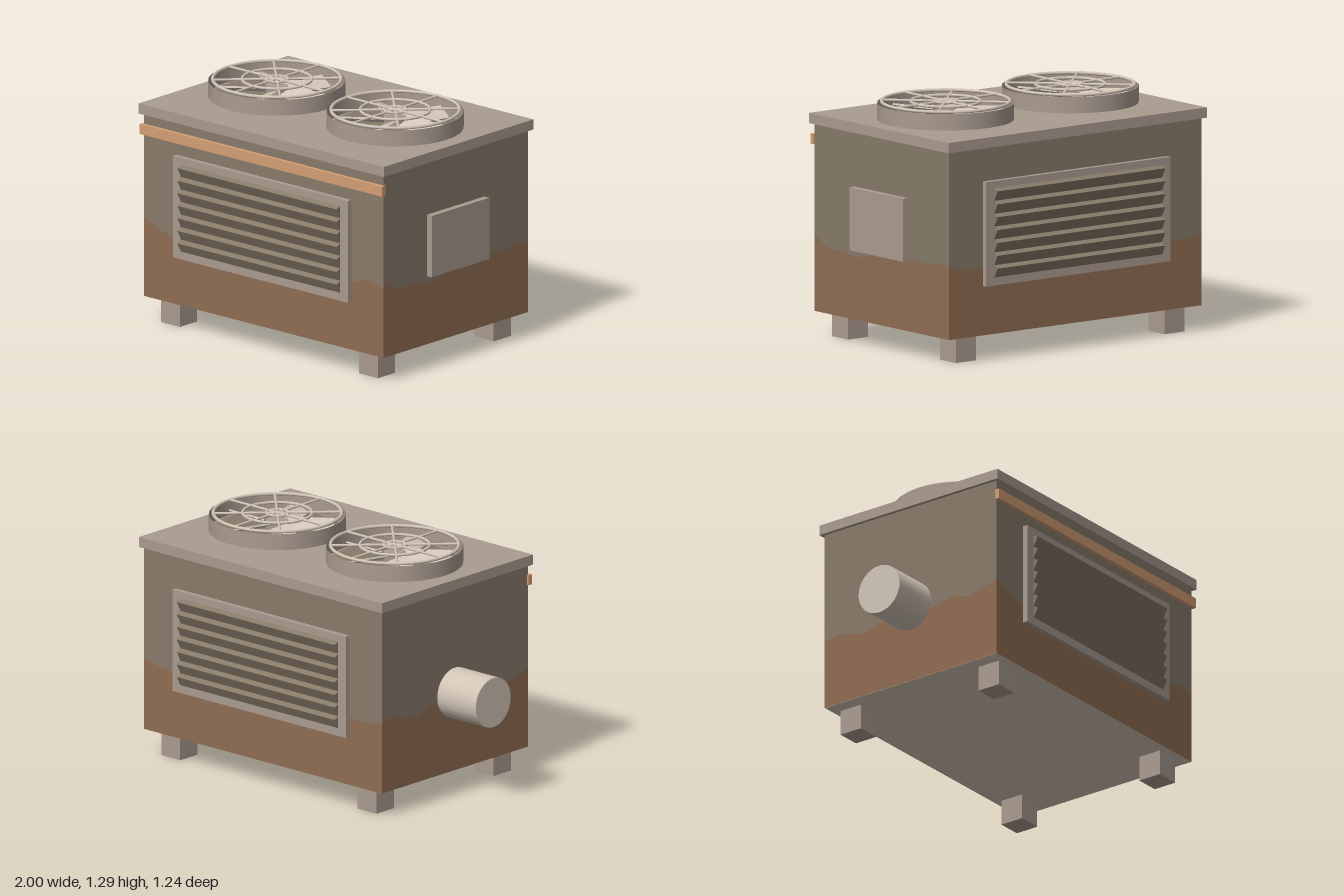
import * as THREE from 'three';

const mat = (name, color, side = THREE.FrontSide) => {
  const m = new THREE.MeshStandardMaterial({ color, side });
  m.name = name;
  return m;
};

export function createModel() {
  const model = new THREE.Group();
  model.name = 'rooftopCoolingUnit';

  const olive = mat('olive paint', 0x877a69);
  const rust = mat('rust', 0x906d53);
  const grey = mat('warm grey trim', 0xaa9b90, THREE.DoubleSide);
  const orange = mat('orange stripe', 0xd39f74);
  const metal = mat('light metal', 0xd2c5b7);

  const add = (parent, name, geometry, material, x = 0, y = 0, z = 0) => {
    const mesh = new THREE.Mesh(geometry, material);
    mesh.name = name;
    mesh.position.set(x, y, z);
    parent.add(mesh);
    return mesh;
  };
  // Box given by its limits on each axis
  const span = (name, material, [x0, x1], [y0, y1], [z0, z1]) =>
    add(model, name, new THREE.BoxGeometry(x1 - x0, y1 - y0, z1 - z0), material,
      (x0 + x1) / 2, (y0 + y1) / 2, (z0 + z1) / 2);

  // Cabinet walls: a wavy rust line splits each side into two strips
  const X0 = -0.726, X1 = 0.965, Z = 0.565, Y0 = 0.137, Y1 = 1.14;
  const sides = [
    { from: [X0, Z], to: [X1, Z], line: [0.57, 0.52, 0.5, 0.51, 0.49, 0.5, 0.52, 0.49, 0.48, 0.5, 0.51, 0.5, 0.49, 0.51, 0.54, 0.52] },
    { from: [X1, Z], to: [X1, -Z], line: [0.55, 0.5, 0.485, 0.49, 0.475, 0.475, 0.5, 0.51, 0.51, 0.505, 0.52, 0.52, 0.515, 0.535, 0.52] },
    { from: [X1, -Z], to: [X0, -Z], line: [0.52, 0.5, 0.49, 0.51, 0.5, 0.49, 0.5, 0.52, 0.51, 0.5, 0.5, 0.49, 0.51, 0.5, 0.52] },
    { from: [X0, -Z], to: [X0, Z], line: [0.52, 0.54, 0.51, 0.5, 0.53, 0.52, 0.5, 0.51, 0.53, 0.55, 0.52, 0.54, 0.57] },
  ];
  const lower = [], upper = [];
  const quad = (out, a, b, a0, b0, a1, b1) => out.push(
    a[0], a0, a[1], b[0], b0, b[1], b[0], b1, b[1],
    a[0], a0, a[1], b[0], b1, b[1], a[0], a1, a[1]);
  for (const { from, to, line } of sides) {
    const n = line.length - 1;
    const at = (i) => [0, 1].map((k) => from[k] + (to[k] - from[k]) * i / n);
    for (let i = 0; i < n; i++) {
      const a = at(i), b = at(i + 1);
      quad(lower, a, b, Y0, Y0, line[i], line[i + 1]);
      quad(upper, a, b, line[i], line[i + 1], Y1, Y1);
    }
  }
  const strip = (points) => {
    const g = new THREE.BufferGeometry();
    g.setAttribute('position', new THREE.Float32BufferAttribute(points, 3));
    g.computeVertexNormals();
    return g;
  };
  add(model, 'cabinetRust', strip(lower), rust);
  add(model, 'cabinetPaint', strip(upper), olive);

  // Base, lid, stripe and side hatch
  span('basePlate', metal, [X0 + 0.002, X1 - 0.002], [Y0, Y0 + 0.01], [-Z + 0.002, Z - 0.002]);
  span('lid', grey, [-0.746, 0.985], [1.135, 1.19], [-0.585, 0.585]);
  span('frontStripe', orange, [-0.736, 0.975], [1.025, 1.08], [0.56, 0.587]);
  span('sideHatch', grey, [0.96, 1], [0.51, 0.845], [-0.223, 0.227]);

  // Feet
  for (const x of [-0.58, 0.817])
    for (const z of [-0.453, 0.453])
      add(model, 'foot', new THREE.BoxGeometry(0.134, 0.14, 0.134), grey, x, 0.07, z);

  // Side pipe
  const pipe = add(model, 'pipe', new THREE.CylinderGeometry(0.135, 0.135, 0.28, 32), metal, -0.86, 0.565, 0);
  pipe.rotation.z = Math.PI / 2;

  // Louvre panels on front and back
  const rect = (P, x0, x1, y0, y1) =>
    new P([[x0, y0], [x1, y0], [x1, y1], [x0, y1]].map(([x, y]) => new THREE.Vector2(x, y)));
  const frame = rect(THREE.Shape, -0.617, 0.617, -0.278, 0.278);
  frame.holes.push(rect(THREE.Path, -0.563, 0.563, -0.233, 0.233));
  const frameGeo = new THREE.ExtrudeGeometry(frame, { depth: 0.03, bevelEnabled: false });
  const slatGeo = new THREE.BoxGeometry(1.124, 0.064, 0.046);
  for (const s of [1, -1]) {
    const panel = new THREE.Group();
    panel.name = s > 0 ? 'frontLouvrePanel' : 'backLouvrePanel';
    panel.position.set(0.121, 0.678, s * 0.563);
    if (s < 0) panel.rotation.y = Math.PI;
    add(panel, 'louvreFrame', frameGeo, grey);
    add(panel, 'louvreBacking', new THREE.BoxGeometry(1.126, 0.466, 0.006), olive, 0, 0, 0.003);
    for (let i = -3; i <= 3; i++)
      add(panel, 'slat', slatGeo, olive, 0, i * 0.0685 + 0.003, 0.021).rotation.x = 0.48;
    model.add(panel);
  }

  // Roof fans
  for (const x of [-0.298, 0.537]) {
    const fan = new THREE.Group();
    fan.name = 'fan';
    fan.position.set(x, 1.19, 0);
    model.add(fan);

    // Open shroud wall and floor
    add(fan, 'shroudWall', new THREE.CylinderGeometry(0.36, 0.36, 0.087, 32, 1, true), grey, 0, 0.0435, 0);
    add(fan, 'shroudFloor', new THREE.CircleGeometry(0.34, 40), olive, 0, 0.004, 0).rotation.x = -Math.PI / 2;

    // Hub and five pitched blades
    add(fan, 'hub', new THREE.CylinderGeometry(0.06, 0.06, 0.05, 20), grey, 0, 0.03, 0);
    for (let i = 0; i < 5; i++) {
      const arm = new THREE.Group();
      arm.name = 'bladeArm';
      arm.rotation.y = i * Math.PI * 2 / 5;
      add(arm, 'blade', new THREE.BoxGeometry(0.25, 0.01, 0.105), metal, 0.175, 0.035, 0).rotation.x = 0.42;
      fan.add(arm);
    }

    // Guard: three rings and eight spokes
    for (const [r, t] of [[0.337, 0.009], [0.183, 0.008], [0.06, 0.007]])
      add(fan, 'guardRing', new THREE.TorusGeometry(r, t, 8, 40), metal, 0, 0.094, 0).rotation.x = Math.PI / 2;
    for (let i = 0; i < 4; i++) {
      const spoke = add(fan, 'guardSpoke', new THREE.CylinderGeometry(0.007, 0.007, 0.674, 8), metal, 0, 0.094, 0);
      spoke.rotation.set(Math.PI / 2, 0, i * Math.PI / 4);
    }
  }
  return model;
}
